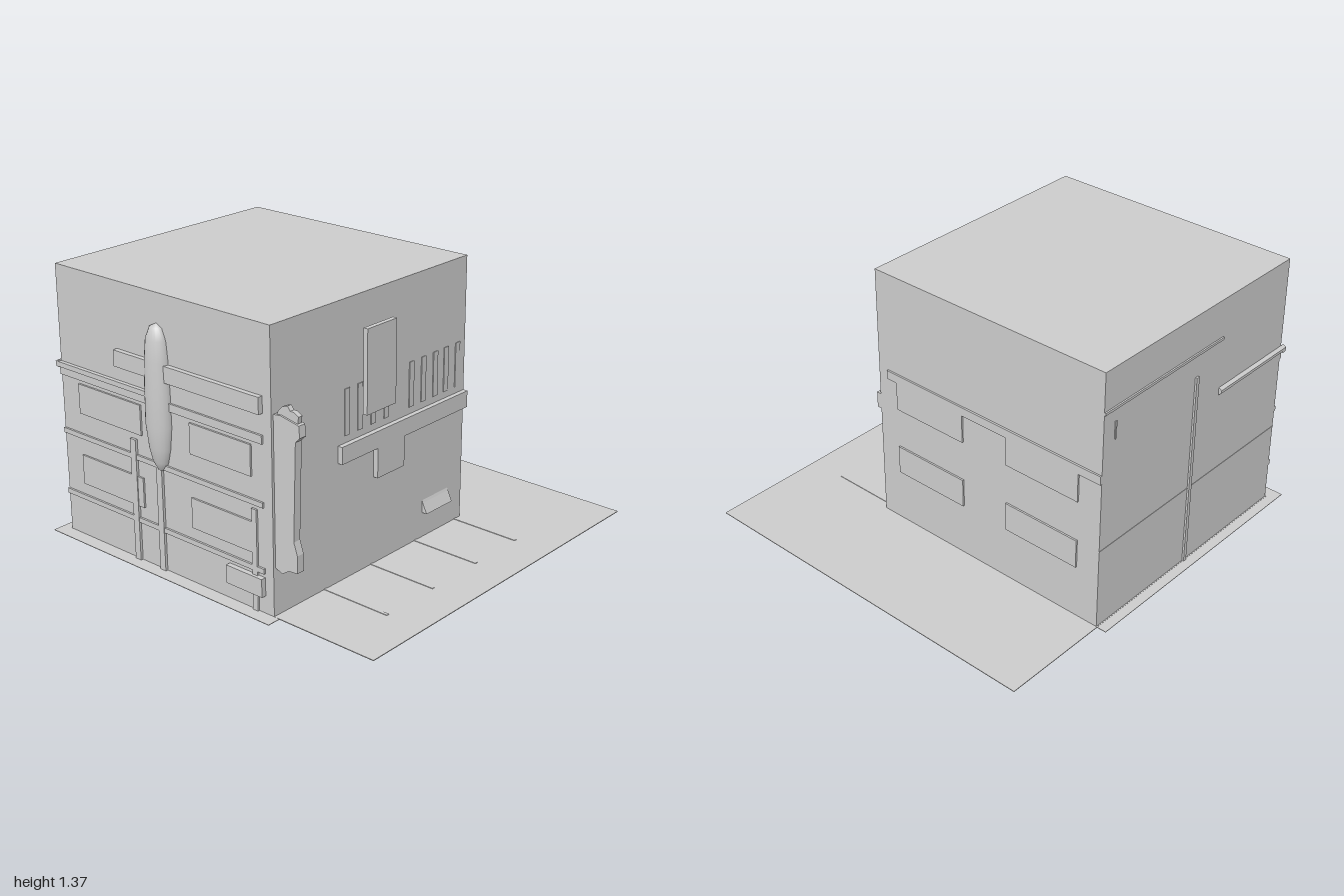
import * as THREE from 'three';

export function createModel() {
  const model = new THREE.Group();
  const grey = new THREE.MeshStandardMaterial({ color: 0xcccccc });
  grey.name = 'plain grey';

  const add = (name, geometry) => {
    const mesh = new THREE.Mesh(geometry, grey);
    mesh.name = name;
    model.add(mesh);
    return mesh;
  };
  // Box given by its limits on each axis
  const box = (name, x0, x1, y0, y1, z0, z1) => {
    const g = new THREE.BoxGeometry(x1 - x0, y1 - y0, z1 - z0);
    g.translate((x0 + x1) / 2, (y0 + y1) / 2, (z0 + z1) / 2);
    return add(name, g);
  };
  // Outline of [z, y] points, extruded along x
  const extrudeX = (name, points, x0, x1) => {
    const shape = new THREE.Shape(points.map(([z, y]) => new THREE.Vector2(z, y)));
    const g = new THREE.ExtrudeGeometry(shape, { depth: x1 - x0, bevelEnabled: false });
    g.rotateY(-Math.PI / 2);
    g.translate(x1, 0, 0);
    return add(name, g);
  };

  const L = -0.93, R = 0.43, F = 0.42, B = -0.945;

  // Building and the two ground slabs
  box('building', L, R, 0, 1.365, B, F);
  box('pavement', L, 1, 0, 0.004, -0.95, 0.99);
  box('backPavement', -1, R, 0, 0.003, -1, 0.45);
  for (const x of [-0.59, -0.26, 0.07, 0.39]) box('parkingLine', x - 0.008, x + 0.008, 0, 0.007, F, 0.79);

  // Front: slats, fascia, hanging panel, board and sloped lamp
  for (const x of [-0.44, -0.35, -0.257, -0.163, 0.02, 0.11, 0.2, 0.283, 0.372])
    box('slat', x - 0.017, x + 0.017, 0.72, 0.945, F, F + 0.004);
  box('frontFascia', -0.5, R, 0.6, 0.685, F, 0.445);
  box('entrancePanel', -0.25, -0.055, 0.45, 0.6, F, 0.445);
  box('frontBoard', -0.355, -0.15, 0.8, 1.21, 0.443, 0.467);
  extrudeX('lamp', [[F, 0.135], [0.45, 0.135], [0.425, 0.187], [F, 0.2]], 0.12, 0.32);

  // Upright sign on the front corner
  extrudeX('uprightSign', [
    [F, 0.24], [0.46, 0.225], [0.5, 0.25], [0.55, 0.255], [0.55, 0.34], [0.53, 0.4],
    [0.545, 0.87], [0.57, 0.895], [0.565, 0.95], [0.46, 0.97], [F, 0.965],
  ], -0.917, -0.877);
  extrudeX('signCrest', [
    [0.43, 0.96], [0.55, 0.94], [0.556, 0.985], [0.53, 1.0], [0.51, 1.0], [0.495, 1.02], [0.465, 1.01],
    [0.44, 0.985],
  ], -0.908, -0.884);
  box('signBracket', -0.91, -0.863, 0.32, 0.72, F, 0.475);

  // Right wall band, and windows on both side walls
  box('sideBand', R, R + 0.01, 0.8, 0.845, B, 0.36);
  for (const [y0, y1] of [[0.65, 0.8], [0.285, 0.435]])
    for (const [z0, z1] of [[-0.125, 0.3], [-0.82, -0.395]]) {
      box('sideWindow', R, R + 0.009, y0, y1, z0, z1);
      box('farWindow', L - 0.009, L, y0, y1, z0 + (z0 > -0.3 ? 0.05 : 0), z1);
    }

  // Far wall: rails, ledges, pipes and step
  box('farRail', -0.955, L, 0.96, 1.04, -0.54, 0.37);
  box('farLedge', -0.95, L, 0.86, 0.885, -0.96, -0.33);
  box('farBand', -0.94, L, 0.82, 0.86, B, 0.37);
  for (const y of [0.52, 0.2]) box('farTrim', -0.94, L, y, y + 0.025, B, 0.37);
  for (const z of [-0.45, -0.28]) box('farPipe', -0.943, L, 0, 0.62, z - 0.018, z + 0.018);
  box('farCornerPipe', -0.94, L, 0, 0.5, 0.3, 0.33);
  box('farStep', -0.955, L, 0.09, 0.18, 0.15, 0.37);

  // Rounded lantern on the far wall
  const profile = [[0, 0.505], [0.022, 0.52], [0.045, 0.56], [0.062, 0.63], [0.075, 0.74], [0.073, 0.9],
    [0.068, 1.05], [0.058, 1.15], [0.035, 1.205], [0, 1.222]].map(([r, y]) => new THREE.Vector2(r, y));
  const lantern = add('lantern', new THREE.LatheGeometry(profile, 20));
  lantern.scale.x = 0.8;
  lantern.position.set(L, 0, -0.27);

  // Back wall: bars, sloped ledge, drainpipe and seam
  box('backBar', -0.42, R, 1.155, 1.168, B - 0.008, B);
  box('backTrim', L, R, 0.428, 0.434, B - 0.002, B);
  box('drainpipe', -0.242, -0.222, 0, 1.04, B - 0.01, B);
  box('backBracket', 0.345, 0.355, 1.0, 1.09, B - 0.005, B);
  extrudeX('backLedge', [[B, 0.855], [-0.962, 0.87], [-0.962, 0.885], [B, 0.895]].reverse(), -0.95, -0.42);
  return model;
}
